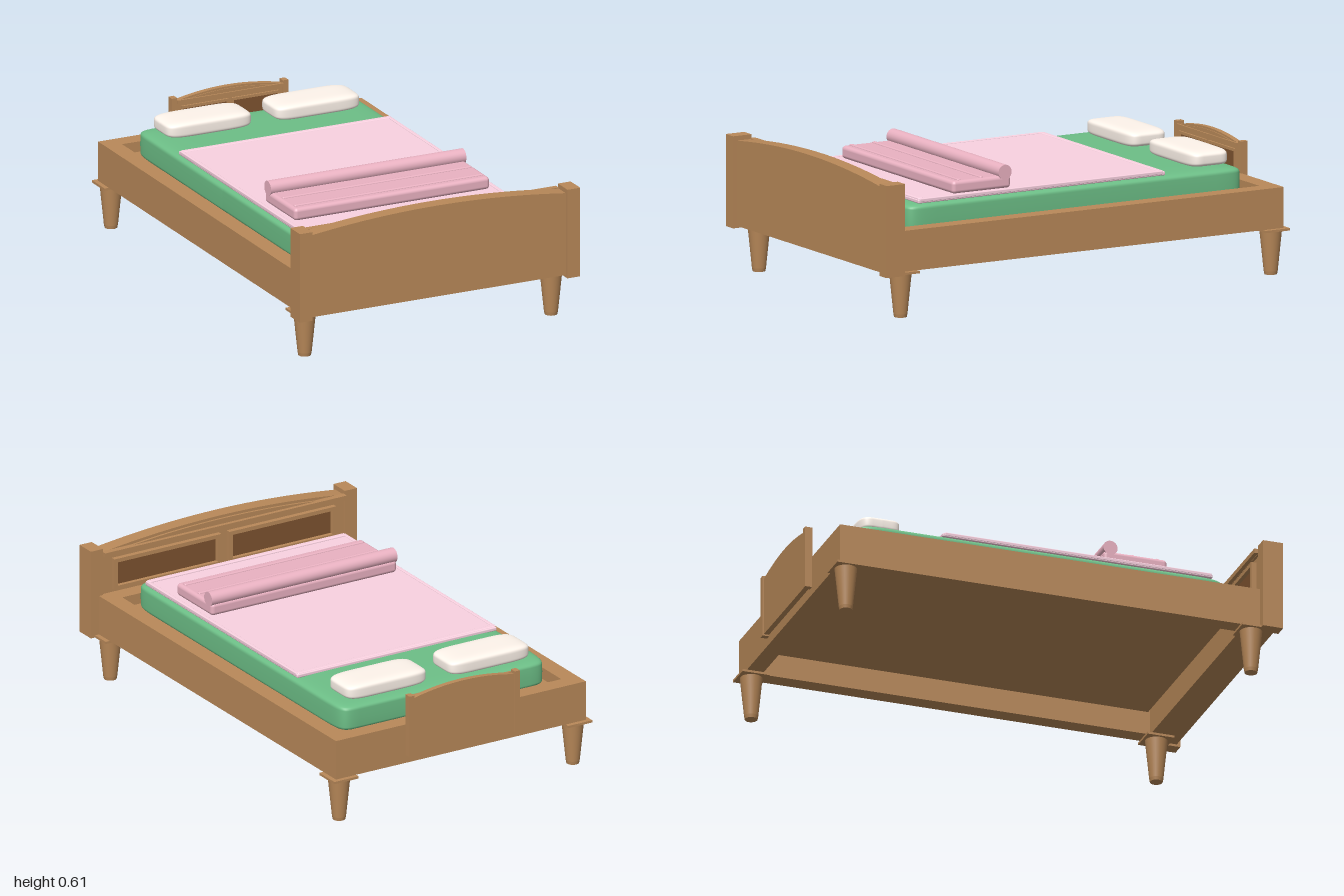
import * as THREE from 'three';
import { RoundedBoxGeometry } from 'three/addons/geometries/RoundedBoxGeometry.js';

const mat = (color) => new THREE.MeshStandardMaterial({ color });
const wood = mat(0xb98959);
const darkWood = mat(0x7e5330);
const green = mat(0x6dbf87);
const pink = mat(0xfad2e1);
const rose = mat(0xeab2c2);
const cream = mat(0xfff5ec);

function add(parent, name, geometry, material, x = 0, y = 0, z = 0) {
  const mesh = new THREE.Mesh(geometry, material);
  mesh.name = name;
  mesh.position.set(x, y, z);
  parent.add(mesh);
  return mesh;
}

// Box given by its limits on each axis
function box(parent, name, material, [x0, x1], [y0, y1], [z0, z1], radius = 0) {
  const size = [x1 - x0, y1 - y0, z1 - z0];
  const geometry = radius ? new RoundedBoxGeometry(...size, 5, radius) : new THREE.BoxGeometry(...size);
  return add(parent, name, geometry, material, (x0 + x1) / 2, (y0 + y1) / 2, (z0 + z1) / 2);
}

// Cushion: a sphere squared off by powers, in plan and in height
function cushion(width, height, depth, planPower, heightPower) {
  const geometry = new THREE.SphereGeometry(1, 64, 40);
  const p = geometry.attributes.position;
  const square = (v, e) => (Math.abs(v) < 1e-6 ? 0 : Math.sign(v) * Math.abs(v) ** e);
  for (let i = 0; i < p.count; i++) {
    const r = Math.hypot(p.getX(i), p.getZ(i)) || 1;
    const spread = square(r < 1e-6 || Math.abs(p.getY(i)) > 0.99999 ? 0 : r, heightPower);
    p.setXYZ(i,
      square(p.getX(i) / r, planPower) * spread * width / 2,
      square(p.getY(i), heightPower) * height / 2,
      square(p.getZ(i) / r, planPower) * spread * depth / 2);
  }
  geometry.computeVertexNormals();
  return geometry;
}

// Arched board with posts; outer face near z = 0, panelled face toward -z
function endBoard(name) {
  const g = new THREE.Group();
  g.name = name;
  const arch = (x) => 0.605 - 0.04 * (x / 0.6) ** 2;
  const archStrip = (bottom, drop) => {
    const s = new THREE.Shape();
    const n = 24;
    for (let i = 0; i <= n; i++) {
      const x = -0.6 + 1.2 * i / n;
      if (i) s.lineTo(x, arch(x) - drop);
      else s.moveTo(x, arch(x) - drop);
    }
    s.lineTo(0.6, bottom);
    s.lineTo(-0.6, bottom);
    return s;
  };
  const extrude = (shape, depth) => new THREE.ExtrudeGeometry(shape, { depth, bevelEnabled: false });
  add(g, 'archedBoard', extrude(archStrip(0.2, 0), 0.064), wood, 0, 0, -0.08);
  add(g, 'archTrim', extrude(archStrip(0.548, 0.012), 0.01), wood, 0, 0, -0.09);
  box(g, 'moulding', wood, [-0.6, 0.6], [0.55, 0.57], [-0.107, -0.08]);
  for (const s of [-1, 1]) {
    box(g, 'post', wood, [s * 0.63 - 0.03, s * 0.63 + 0.03], [0.19, 0.585], [-0.09, 0]);

    // Recessed panel and its frame
    const c = s * 0.285;
    box(g, 'panel', darkWood, [c - 0.25, c + 0.25], [0.405, 0.515], [-0.084, -0.078]);
    const frame = new THREE.Shape([[-0.265, 0.39], [0.265, 0.39], [0.265, 0.53], [-0.265, 0.53]]
      .map(([x, y]) => new THREE.Vector2(x, y)));
    frame.holes.push(new THREE.Path([[-0.248, 0.407], [-0.248, 0.513], [0.248, 0.513], [0.248, 0.407]]
      .map(([x, y]) => new THREE.Vector2(x, y))));
    add(g, 'panelFrame', extrude(frame, 0.022), wood, c, 0, -0.102);
  }
  return g;
}

export function createModel() {
  const bed = new THREE.Group();
  bed.name = 'bed';

  // Large panelled board, and its smaller copy at the other end
  const large = endBoard('largeEndBoard');
  large.position.z = 1;
  const small = endBoard('smallEndBoard');
  small.scale.set(0.415, 0.7, 0.36);
  small.rotation.y = Math.PI;
  small.position.set(0, 0.102, -1);
  bed.add(large, small);

  // Frame rails and base slab
  for (const s of [-1, 1]) {
    box(bed, 'sideRail', wood, [s * 0.5825 - 0.0375, s * 0.5825 + 0.0375], [0.2, 0.375], [-0.97, 0.92]);
  }
  box(bed, 'backRail', wood, [-0.545, 0.545], [0.2, 0.375], [-0.97, -0.895]);
  box(bed, 'frontRail', wood, [-0.545, 0.545], [0.2, 0.375], [0.845, 0.92]);
  box(bed, 'baseSlab', wood, [-0.53, 0.53], [0.295, 0.335], [-0.88, 0.83]);

  // Tapered legs with plates
  for (const x of [-0.58, 0.58]) {
    for (const z of [-0.93, 0.885]) {
      const leg = new THREE.Group();
      leg.name = 'leg';
      leg.position.set(x, 0, z);
      box(leg, 'plate', wood, [-0.06, 0.06], [0.19, 0.2], [-0.06, 0.06]);
      add(leg, 'taper', new THREE.CylinderGeometry(0.048, 0.03, 0.175, 28), wood, 0, 0.1025, 0);
      add(leg, 'foot', new THREE.CylinderGeometry(0.03, 0.027, 0.015, 28), wood, 0, 0.0075, 0);
      bed.add(leg);
    }
  }

  // Mattress and pillows
  add(bed, 'mattress', cushion(1.02, 0.13, 1.645, 0.08, 0.22), green, 0, 0.395, -0.0225);
  for (const x of [-0.255, 0.255]) {
    add(bed, 'pillow', cushion(0.4, 0.07, 0.188, 0.35, 0.4), cream, x, 0.491, -0.72);
  }

  // Blanket with hems
  box(bed, 'blanket', pink, [-0.495, 0.495], [0.455, 0.472], [-0.465, 0.745], 0.005);
  for (const s of [-1, 1]) {
    box(bed, 'sideHem', pink, [s * 0.488 - 0.008, s * 0.488 + 0.008], [0.46, 0.476], [-0.455, 0.74], 0.004);
  }
  box(bed, 'frontHem', pink, [-0.49, 0.49], [0.46, 0.479], [0.717, 0.742], 0.006);
  box(bed, 'backHem', pink, [-0.49, 0.49], [0.46, 0.476], [-0.46, -0.435], 0.006);

  // Folded throw with ridges and a roll
  box(bed, 'foldedThrow', rose, [-0.46, 0.46], [0.47, 0.525], [0.27, 0.555], 0.016);
  for (const z of [0.405, 0.515]) {
    box(bed, 'throwRidge', rose, [-0.445, 0.445], [0.516, 0.531], [z - 0.009, z + 0.009], 0.006);
  }
  const roll = add(bed, 'throwRoll', new THREE.CylinderGeometry(0.032, 0.032, 0.92, 28), rose, 0, 0.54, 0.3);
  roll.rotation.z = Math.PI / 2;
  return bed;
}
